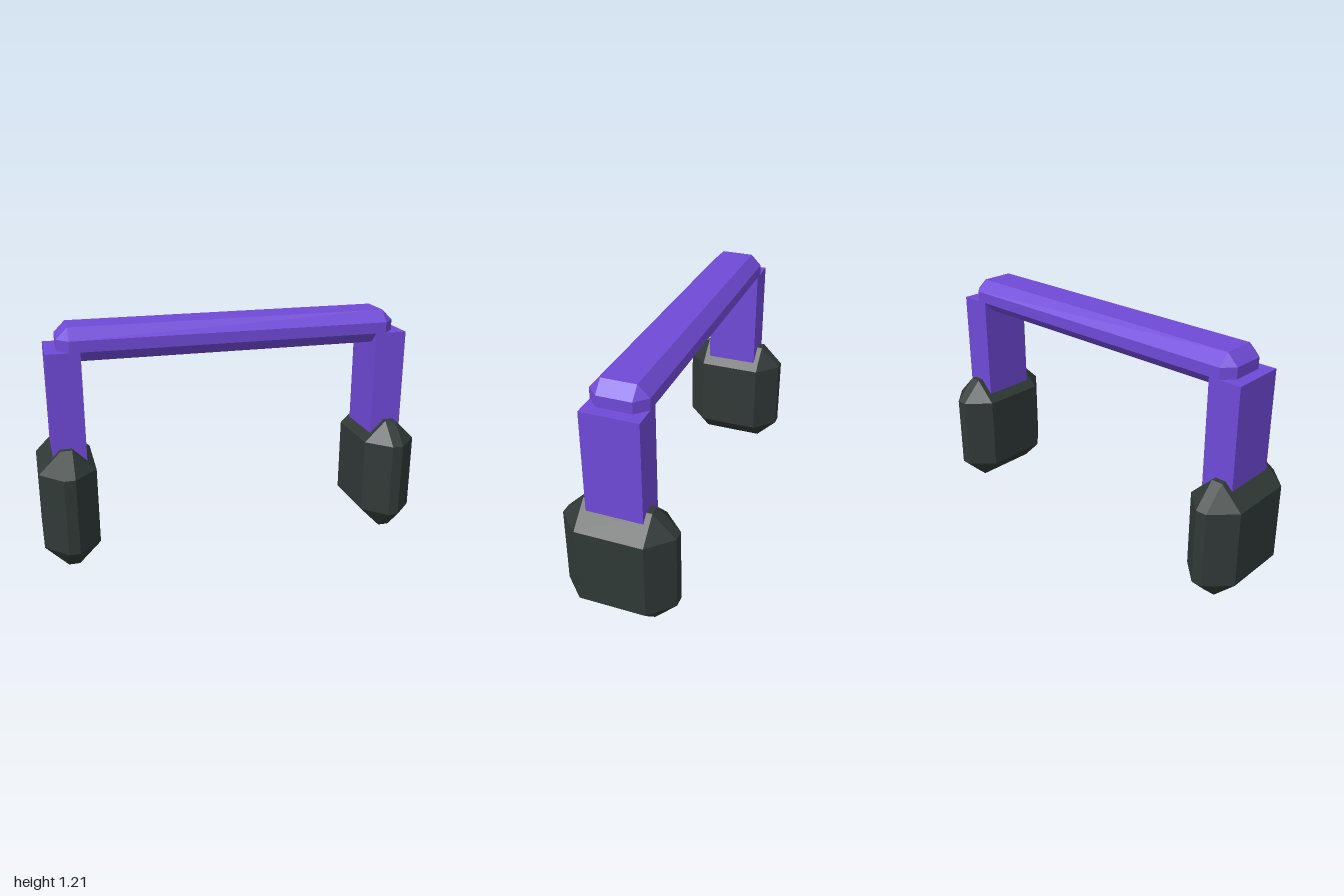
import * as THREE from 'three';
import { ConvexGeometry } from 'three/addons/geometries/ConvexGeometry.js';

// Box with every edge cut at 45 degrees and every corner cut to a triangle
function chamferedBox(w, h, d, c) {
  const half = [w / 2, h / 2, d / 2];
  const points = [];
  for (const sx of [-1, 1]) for (const sy of [-1, 1]) for (const sz of [-1, 1]) {
    for (let axis = 0; axis < 3; axis++) {
      const p = half.map((v, i) => (i === axis ? v : v - c));
      points.push(new THREE.Vector3(sx * p[0], sy * p[1], sz * p[2]));
    }
  }
  return new ConvexGeometry(points);
}

export function createModel() {
  const model = new THREE.Group();
  const purple = new THREE.MeshStandardMaterial({ color: 0x704ad8 });
  purple.name = 'purple';
  const charcoal = new THREE.MeshStandardMaterial({ color: 0x303937 });
  charcoal.name = 'charcoal';

  const add = (name, geometry, material, x, y) => {
    const mesh = new THREE.Mesh(geometry, material);
    mesh.name = name;
    mesh.position.set(x, y, 0);
    model.add(mesh);
  };

  // Crossbar
  add('crossbar', chamferedBox(1.736, 0.168, 0.28, 0.056), purple, 0, 1.126);

  // Post and foot on each side
  const post = new THREE.BoxGeometry(0.166, 0.66, 0.28);
  const foot = chamferedBox(0.28, 0.62, 0.56, 0.112);
  for (const [side, s] of [['left', 1], ['right', -1]]) {
    add(side + 'Post', post, purple, s * 0.843, 0.768);
    add(side + 'Foot', foot, charcoal, s * 0.86, 0.31);
  }
  return model;
}
